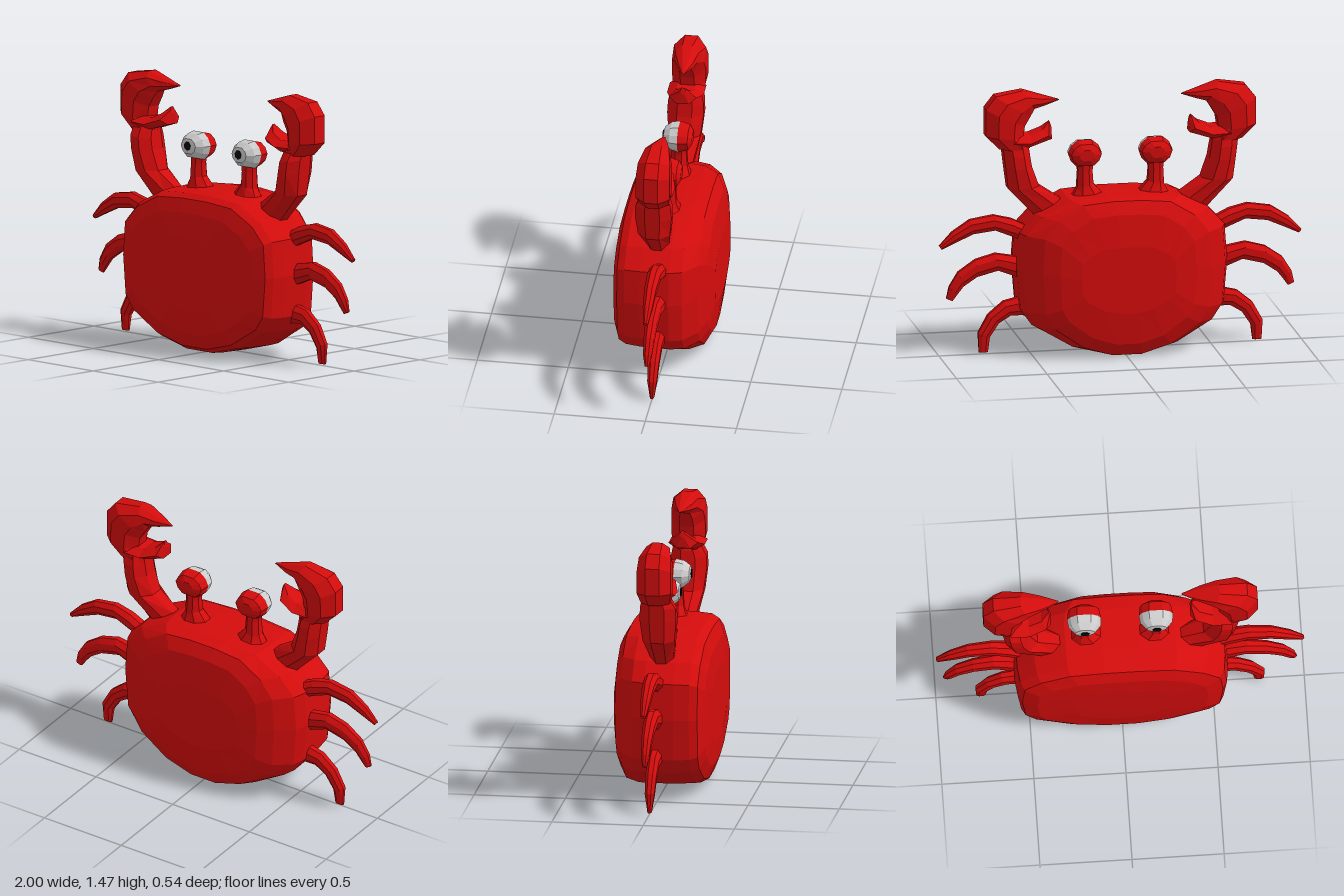
import * as THREE from 'three';

const material = (color) => new THREE.MeshStandardMaterial({ color, flatShading: true });
const red = material(0xd40c0c), white = material(0xcccccc), black = material(0x080808);

// Closed skin through a list of rings with equal point counts, faces turned outward.
function loft(rings, name, mat) {
  const tris = [];
  const n = rings[0].length;
  const centre = (ring) => ring.reduce((s, p) => s.add(p), new THREE.Vector3()).divideScalar(n);
  for (let i = 0; i < rings.length - 1; i++) {
    for (let j = 0; j < n; j++) {
      const k = (j + 1) % n, a = rings[i], b = rings[i + 1];
      tris.push([a[j], a[k], b[k]], [a[j], b[k], b[j]]);
    }
  }
  const first = rings[0], last = rings[rings.length - 1];
  const c0 = centre(first), c1 = centre(last);
  for (let j = 0; j < n; j++) {
    const k = (j + 1) % n;
    tris.push([c0, first[k], first[j]], [c1, last[j], last[k]]);
  }
  const cross = new THREE.Vector3();
  const volume = tris.reduce((v, [a, b, c]) => v + a.dot(cross.crossVectors(b, c)), 0);
  const points = tris.flatMap(([a, b, c]) => (volume < 0 ? [a, c, b] : [a, b, c]));
  const geometry = new THREE.BufferGeometry().setFromPoints(points);
  geometry.computeVertexNormals();
  const mesh = new THREE.Mesh(geometry, mat);
  mesh.name = name;
  return mesh;
}

// Limb from sections [innerX, innerY, outerX, outerY, half depth, z centre].
function limb(sections, side, name, sides = 8) {
  const rings = sections.map(([ax, ay, bx, by, depth, z = 0]) =>
    Array.from({ length: sides }, (_, i) => {
      const t = ((i + 0.5) / sides) * Math.PI * 2;
      const c = Math.cos(t) / Math.cos(Math.PI / sides), s = Math.sin(t);
      return new THREE.Vector3(
        side * ((ax + bx) / 2 + (c * (bx - ax)) / 2),
        (ay + by) / 2 + (c * (by - ay)) / 2,
        z + s * depth);
    }));
  return loft(rings, name, red);
}

// Stack along z: one outline scaled about a centre by [scaleX, scaleY, z].
function stack(outline, cx, cy, layers, name, mat) {
  const rings = layers.map(([sx, sy, z]) =>
    outline.map(([x, y]) => new THREE.Vector3(cx + x * sx, cy + y * sy, z)));
  return loft(rings, name, mat);
}

const LEGS = {
  upperLeg: [
    [0.50, 0.60, 0.50, 0.70, 0.05], [0.58, 0.645, 0.60, 0.75, 0.045], [0.69, 0.69, 0.70, 0.775, 0.04],
    [0.81, 0.675, 0.83, 0.755, 0.035], [0.90, 0.635, 0.93, 0.69, 0.028], [0.985, 0.595, 1.0, 0.615, 0.015],
  ],
  middleLeg: [
    [0.50, 0.39, 0.48, 0.50, 0.05], [0.57, 0.425, 0.58, 0.54, 0.045], [0.675, 0.465, 0.69, 0.56, 0.04],
    [0.79, 0.435, 0.80, 0.53, 0.035], [0.865, 0.385, 0.895, 0.465, 0.03], [0.90, 0.34, 0.945, 0.385, 0.024],
    [0.925, 0.305, 0.96, 0.32, 0.012],
  ],
  lowerLeg: [
    [0.47, 0.18, 0.47, 0.29, 0.045], [0.54, 0.21, 0.56, 0.31, 0.04], [0.605, 0.21, 0.645, 0.29, 0.036],
    [0.67, 0.17, 0.73, 0.22, 0.033], [0.72, 0.095, 0.785, 0.12, 0.028], [0.73, 0.01, 0.78, 0.01, 0.012],
  ],
};

const ARM = [
  [0.28, 0.79, 0.42, 0.70, 0.05, 0.02], [0.33, 0.85, 0.48, 0.77, 0.07, 0.02],
  [0.45, 0.93, 0.62, 0.92, 0.095, 0.02], [0.49, 1.04, 0.635, 1.04, 0.108, 0.02],
  [0.50, 1.10, 0.645, 1.12, 0.105, 0.02], [0.51, 1.17, 0.65, 1.17, 0.08, 0.01],
];

const CLAW = [
  [0.50, 1.145, 0.67, 1.145, 0.085, 0.01], [0.54, 1.205, 0.745, 1.22, 0.1, 0.01],
  [0.53, 1.27, 0.745, 1.37, 0.1, 0.01], [0.50, 1.32, 0.69, 1.44, 0.095, 0.01],
  [0.475, 1.36, 0.54, 1.465, 0.07, 0.01], [0.42, 1.375, 0.44, 1.435, 0.045, 0.005],
  [0.335, 1.402, 0.345, 1.408, 0.006],
];

const THUMB = [
  [0.60, 1.155, 0.60, 1.22, 0.1, 0.015], [0.50, 1.153, 0.50, 1.215, 0.1, 0.015],
  [0.38, 1.19, 0.43, 1.245, 0.075, 0.015], [0.378, 1.25, 0.39, 1.285, 0.015, 0.01],
];

const STALK = [
  [0.09, 0.84, 0.30, 0.82, 0.09], [0.11, 0.885, 0.26, 0.87, 0.065], [0.15, 0.93, 0.24, 0.91, 0.05],
  [0.155, 1.0, 0.235, 1.0, 0.045], [0.15, 1.04, 0.24, 1.04, 0.045],
];

const EYE = [
  [0.093, 0], [0.075, 0.04], [0.038, 0.07], [-0.038, 0.07], [-0.075, 0.04],
  [-0.093, 0], [-0.078, -0.045], [-0.045, -0.078], [0.045, -0.078], [0.078, -0.045],
];

export function createModel() {
  const crab = new THREE.Group();
  crab.name = 'crab';

  // Shell: a rounded outline, mirrored, with bulging front and back
  const half = [
    [0.1, 0], [0.3, 0.05], [0.5, 0.165], [0.56, 0.25], [0.58, 0.48],
    [0.565, 0.68], [0.47, 0.78], [0.3, 0.865], [0.1, 0.88],
  ].map(([x, y]) => [x, y - 0.44]);
  const outline = [...half, ...half.map(([x, y]) => [-x, y]).reverse()];
  crab.add(stack(outline, 0, 0.44, [
    [0.45, 0.45, 0.27], [0.8, 0.75, 0.258], [0.94, 0.92, 0.228], [0.98, 0.975, 0.185],
    [1, 0.99, 0.1], [1, 1, -0.06], [0.96, 1, -0.13], [0.8, 0.975, -0.205],
    [0.65, 0.82, -0.245], [0.45, 0.42, -0.27],
  ], 'shell', red));

  for (const side of [1, -1]) {
    const prefix = side > 0 ? 'left' : 'right';

    // Legs
    for (const [name, sections] of Object.entries(LEGS)) {
      crab.add(limb(sections, side, `${prefix} ${name}`));
    }

    // Arm with its claw
    const arm = new THREE.Group();
    arm.name = `${prefix} arm`;
    arm.add(
      limb(ARM, side, 'forearm'),
      limb(CLAW, side, 'upper pincer'),
      limb(THUMB, side, 'lower pincer', 6));
    crab.add(arm);

    // Stalked eye: red back, pale front, dark pupil
    const eye = new THREE.Group();
    eye.name = `${prefix} eye`;
    const x = side * 0.195;
    eye.add(limb(STALK, side, 'eye stalk'));
    eye.add(stack(EYE, x, 1.1, [[0.45, 0.4, -0.075], [0.9, 0.8, -0.055], [1, 1, 0]], 'eyelid', red));
    eye.add(stack(EYE, x, 1.1, [[1, 1, 0], [0.94, 0.88, 0.045], [0.6, 0.55, 0.08], [0.25, 0.25, 0.086]], 'eyeball', white));
    const pupil = new THREE.Mesh(new THREE.CylinderGeometry(0.024, 0.026, 0.012, 7), black);
    pupil.name = 'pupil';
    pupil.rotation.x = Math.PI / 2;
    pupil.position.set(x, 1.1, 0.084);
    eye.add(pupil);
    crab.add(eye);
  }
  return crab;
}
